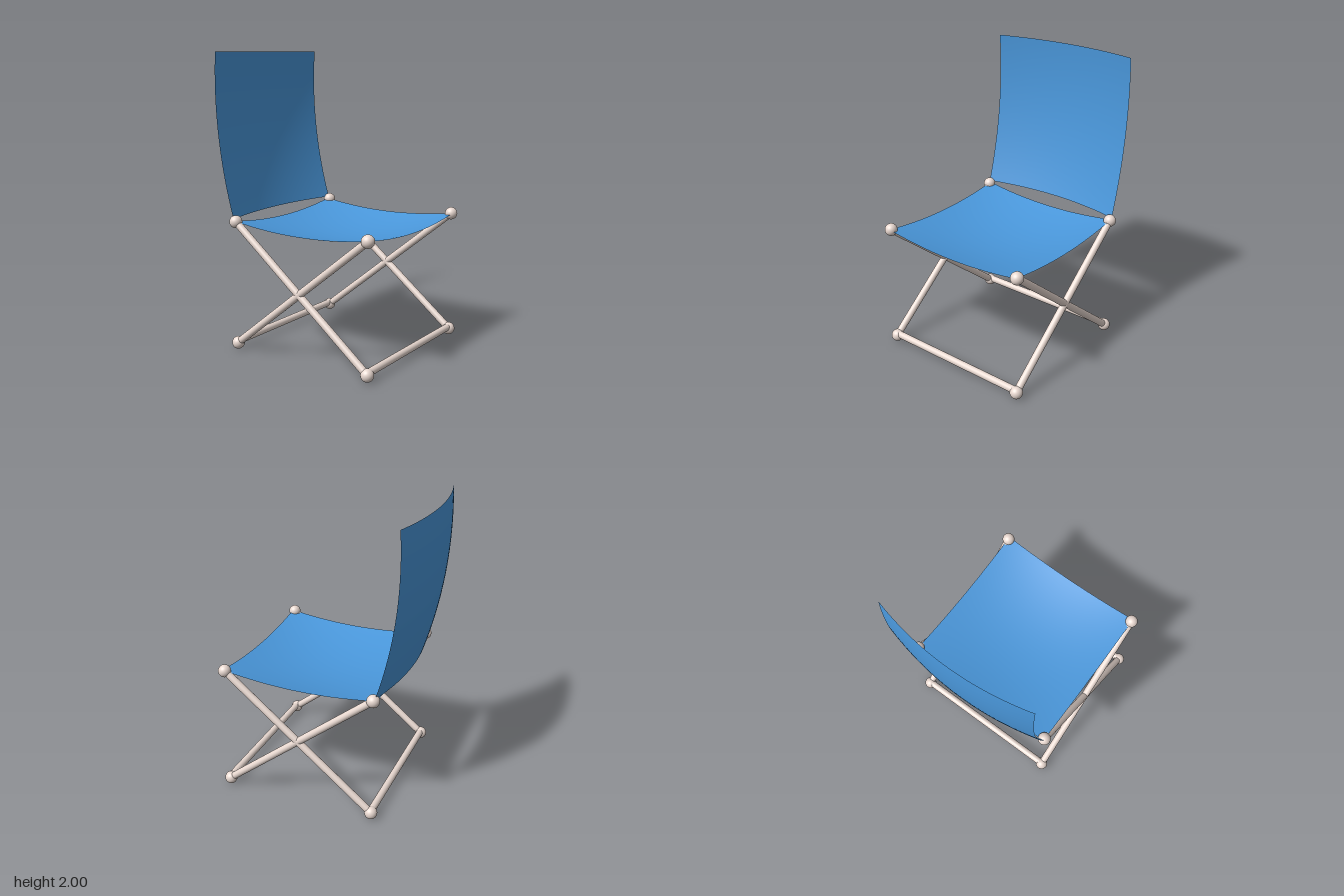
import * as THREE from 'three';

const HALF_W = 0.54, HALF_D = 0.522; // joint spacing across and along the seat
const LOW = 0.044, HIGH = 0.884;     // joint heights

const wood = new THREE.MeshStandardMaterial({ color: 0xe8d8d0 });
const cloth = new THREE.MeshStandardMaterial({ color: 0x4a98dc, side: THREE.DoubleSide });

// Round rod between two points
function rod(name, a, b, radius = 0.025) {
  const dir = b.clone().sub(a);
  const mesh = new THREE.Mesh(new THREE.CylinderGeometry(radius, radius, dir.length(), 24), wood);
  mesh.name = name;
  mesh.position.copy(a).add(b).multiplyScalar(0.5);
  mesh.quaternion.setFromUnitVectors(new THREE.Vector3(0, 1, 0), dir.normalize());
  return mesh;
}

// Thin cloth: rule(u, v) with u, v from -1 to 1 gives a point
function sheet(name, rule) {
  const geo = new THREE.PlaneGeometry(2, 2, 32, 32);
  const pos = geo.attributes.position;
  for (let i = 0; i < pos.count; i++) pos.setXYZ(i, ...rule(pos.getX(i), pos.getY(i)));
  geo.computeVertexNormals();
  const mesh = new THREE.Mesh(geo, cloth);
  mesh.name = name;
  return mesh;
}

export function createModel() {
  const model = new THREE.Group();
  model.name = 'foldingChair';
  const chair = new THREE.Group();
  chair.name = 'turnedChair';
  chair.position.set(0.045, 0, 0.02);
  chair.rotation.y = THREE.MathUtils.degToRad(59.4);
  model.add(chair);

  const joint = (sx, y, sz) => new THREE.Vector3(sx * HALF_W, y, sz * HALF_D);

  // Ball joints at all eight corners
  const ball = new THREE.SphereGeometry(0.043, 32, 20);
  for (const sx of [-1, 1]) for (const sz of [-1, 1]) for (const y of [LOW, HIGH]) {
    const mesh = new THREE.Mesh(ball, wood);
    mesh.name = y === LOW ? 'foot' : 'topJoint';
    mesh.position.copy(joint(sx, y, sz));
    chair.add(mesh);
  }

  // Crossed legs on each side
  for (const sx of [-1, 1]) for (const sz of [-1, 1])
    chair.add(rod('crossedLeg', joint(sx, LOW, sz), joint(sx, HIGH, -sz)));

  // Floor rails at front and back
  for (const sz of [-1, 1])
    chair.add(rod('floorRail', joint(-1, 0.056, sz), joint(1, 0.056, sz)));

  // Seat sagging towards its middle
  chair.add(sheet('seat', (u, v) => {
    const a = 1 - u * u, b = 1 - v * v;
    return [u * 0.543, 0.888 - 0.045 * (a + b) - 0.033 * a * b, -v * 0.538];
  }));

  // Backrest bowed across and curving back with height
  chair.add(sheet('backrest', (u, v) => {
    const y = 1.45 + v * 0.55;
    const lean = 0.136 * (1 - ((1.78 - y) / 0.88) ** 2);
    return [u * 0.548, y, -0.535 - lean - 0.075 * (1 - u * u)];
  }));

  return model;
}
